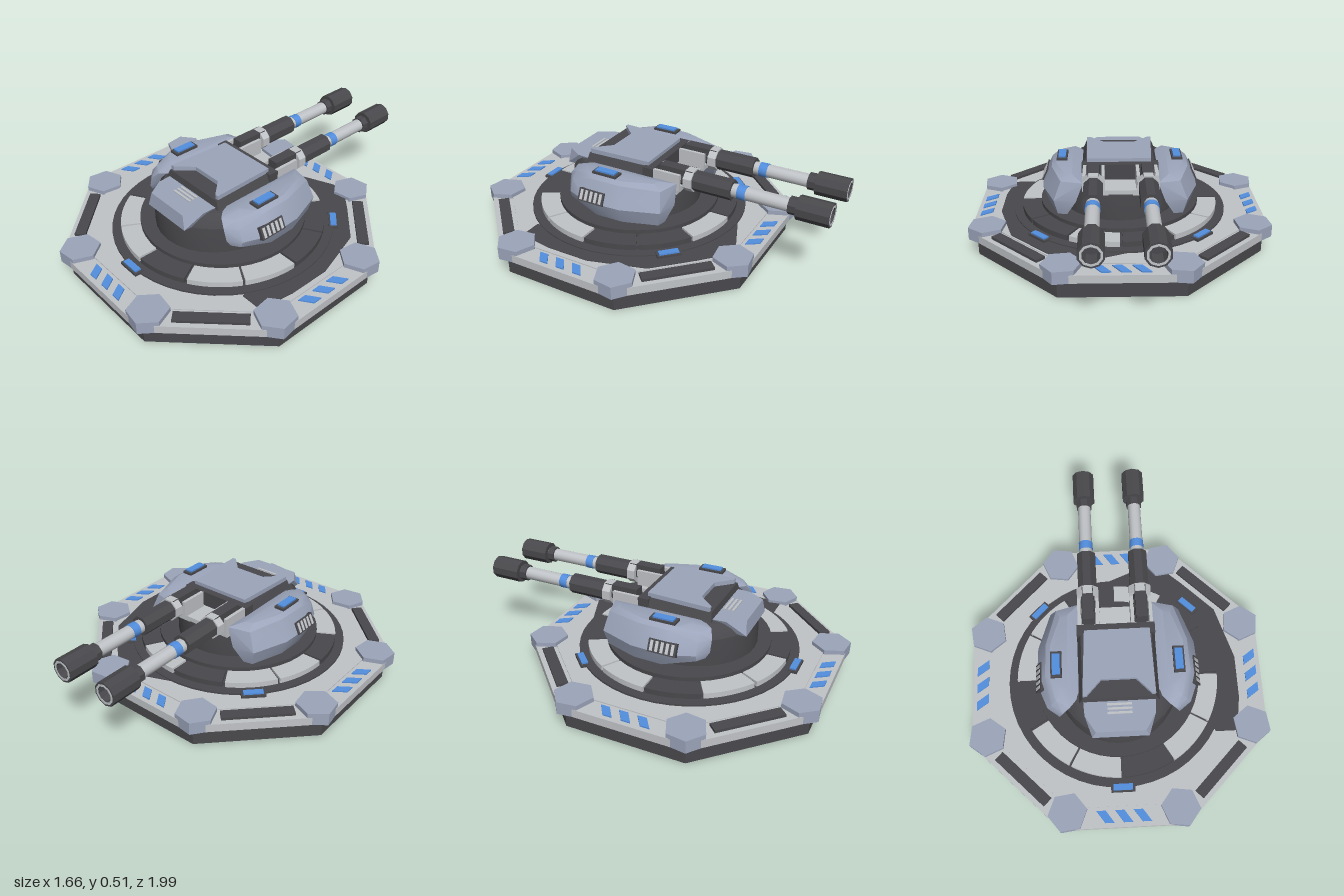
import * as THREE from 'three';
import { toCreasedNormals } from 'three/addons/utils/BufferGeometryUtils.js';
import { ConvexGeometry } from 'three/addons/geometries/ConvexGeometry.js';

const mat = (name, color) => {
  const m = new THREE.MeshStandardMaterial({ color });
  m.name = name;
  return m;
};

export function createModel() {
  const armour = mat('armour blue grey', 0x9ca5bb);
  const light = mat('light grey', 0xc1c4c8);
  const dark = mat('dark grey', 0x49494d);
  const blue = mat('signal blue', 0x538fe0);
  const CZ = 0.16; // centre of the platform along z

  const model = new THREE.Group();
  model.name = 'twinGunTurret';
  const base = new THREE.Group();
  base.name = 'platform';
  base.position.z = CZ;
  const turret = new THREE.Group();
  turret.name = 'turret';
  model.add(base, turret);

  const add = (parent, name, geo, material, x = 0, y = 0, z = 0, ry = 0) => {
    const mesh = new THREE.Mesh(toCreasedNormals(geo, 0.5), material);
    mesh.name = name;
    mesh.position.set(x, y, z);
    mesh.rotation.y = ry;
    parent.add(mesh);
    return mesh;
  };
  const box = (w, h, d) => new THREE.BoxGeometry(w, h, d);
  // Octagonal slab given by its flat-to-centre distance
  const octagon = (apothem, y0, y1) => {
    const r = apothem / Math.cos(Math.PI / 8);
    return new THREE.CylinderGeometry(r, r, y1 - y0, 8)
      .rotateY(Math.PI / 8).translate(0, (y0 + y1) / 2, 0);
  };
  const disc = (r, y0, y1) =>
    new THREE.CylinderGeometry(r, r, y1 - y0, 48).translate(0, (y0 + y1) / 2, 0);
  const lathe = (pts, n, ...range) =>
    new THREE.LatheGeometry(pts.map(p => new THREE.Vector2(...p)), n, ...range);
  // Plan outline of (x, z) points extruded between two heights
  const slab = (shape, y0, y1) =>
    new THREE.ExtrudeGeometry(shape, { depth: y1 - y0, bevelEnabled: false, curveSegments: 8 })
      .rotateX(Math.PI / 2).translate(0, y1, 0);
  const outline = pts => new THREE.Shape(pts.map(p => new THREE.Vector2(...p)));
  // Convex hull of plan outlines stacked at heights, optionally mirrored
  const hull = (levels, side = 1) => new ConvexGeometry(levels.flatMap(([y, pts]) =>
    pts.map(([x, z]) => new THREE.Vector3(side * x, y, z))));

  // Platform
  add(base, 'skirt', octagon(0.785, 0, 0.1), dark);
  add(base, 'deck', octagon(0.82, 0.1, 0.145), light);
  add(base, 'innerDeck', octagon(0.71, 0.14, 0.15), light);
  add(base, 'darkDeckPatch', slab(outline([[-0.05, -0.6], [0.2, -0.7], [0.3, -0.68], [0.41, -0.58],
    [0.59, -0.4], [0.68, -0.1], [0.68, 0.14], [0.65, 0.33], [0.53, 0.33], [0.4, 0]]), 0.146, 0.154), dark);
  for (let i = 0; i < 8; i++) {
    const a = (i + 0.5) * Math.PI / 4;
    add(base, 'cornerPad', new THREE.CylinderGeometry(0.107, 0.107, 0.07, 6),
      armour, Math.sin(a) * 0.792, 0.135, Math.cos(a) * 0.792, a);
    const s = i * Math.PI / 4;
    if (i % 2) {
      add(base, 'gripStrip', box(0.37, 0.02, 0.06), dark, Math.sin(s) * 0.763, 0.15, Math.cos(s) * 0.763, s);
    } else {
      // Slanted hazard stripes
      for (const o of [-0.1, 0, 0.1]) {
        const stripe = outline([[o - 0.05, 0.73], [o, 0.73], [o + 0.045, 0.795], [o - 0.005, 0.795]]);
        add(base, 'hazardStripe', slab(stripe, 0.144, 0.152), blue, 0, 0, 0, s);
      }
    }
  }

  // Rotating ring with twelve segments
  add(base, 'outerRing', disc(0.612, 0.14, 0.16), dark);
  add(base, 'ringCore', disc(0.55, 0.15, 0.178), dark);
  const lightSegments = [0, 1, 3, 4, 6, 7, 9];
  for (let i = 0; i < 12; i++) {
    const a = i * Math.PI / 6 + 0.012, b = (i + 1) * Math.PI / 6 - 0.012;
    const arc = new THREE.Shape();
    arc.absarc(0, 0, 0.562, a, b, false);
    arc.absarc(0, 0, 0.44, b, a, true);
    add(base, 'ringSegment', slab(arc, 0.155, 0.19), lightSegments.includes(i) ? light : dark);
  }
  add(base, 'turretDisc', disc(0.455, 0.175, 0.212), dark);
  for (const deg of [0, 135, -135]) {
    const a = deg * Math.PI / 180, x = Math.sin(a) * 0.612, z = Math.cos(a) * 0.612;
    add(base, 'ringLampFrame', box(0.13, 0.024, 0.052), dark, x, 0.152, z, a);
    add(base, 'ringLamp', box(0.105, 0.009, 0.034), blue, x, 0.168, z, a);
  }

  // Turret body: round drum, with a taller front half
  add(turret, 'drum', lathe([[0, 0.2], [0.37, 0.2], [0.37, 0.3], [0.365, 0.36], [0, 0.36]], 32)
    .scale(0.92, 1, 1), dark, 0, 0, 0.173);
  add(turret, 'frontDome', lathe([[0.365, 0.35], [0.345, 0.395], [0.315, 0.425], [0.28, 0.432], [0, 0.432]],
    20, -Math.PI / 2, Math.PI).scale(0.92, 1, 1), dark, 0, 0, 0.173);
  add(turret, 'upperBody', hull([
    [0.34, [[-0.3, 0], [0.3, 0], [0.3, 0.2], [-0.3, 0.2]]],
    [0.43, [[-0.24, 0], [0.24, 0], [0.24, 0.2], [-0.24, 0.2]]],
  ]), dark);
  add(turret, 'frontArmour', hull([
    [0.358, [[-0.155, 0.4], [0.155, 0.4], [0.15, 0.54], [-0.15, 0.54]]],
    [0.437, [[-0.19, 0.35], [0.19, 0.35], [0.185, 0.44], [-0.185, 0.44], [0.13, 0.53], [-0.13, 0.53]]],
  ]), armour);
  for (const z of [0.385, 0.408, 0.431])
    add(turret, 'frontVentBar', box(0.13, 0.008, 0.012), light, 0, 0.439, z);

  // Roof with a notched front edge
  add(turret, 'roofBase', hull([
    [0.42, [[-0.215, 0], [0.215, 0], [0.215, 0.37], [-0.215, 0.37]]],
    [0.475, [[-0.19, 0], [0.19, 0], [0.19, 0.36], [-0.19, 0.36]]],
  ]), dark);
  add(turret, 'roofPlate', slab(outline([[-0.17, -0.01], [0.18, -0.01], [0.19, 0.35], [0.17, 0.35],
    [0.09, 0.265], [-0.09, 0.265], [-0.17, 0.35], [-0.19, 0.35]]), 0.474, 0.5), armour);

  for (const s of [1, -1]) {
    // Side armour pod, lamp and vent
    add(turret, 'sideArmour', hull([
      [0.24, [[0.29, -0.17], [0.34, -0.16], [0.4, 0.02], [0.405, 0.18], [0.345, 0.26], [0.3, 0.2]]],
      [0.29, [[0.375, 0.36], [0.33, 0.39]]],
      [0.325, [[0.24, -0.2], [0.36, -0.18], [0.43, 0.02], [0.44, 0.22], [0.385, 0.36], [0.32, 0.41]]],
      [0.39, [[0.36, 0.36], [0.3, 0.41]]],
      [0.428, [[0.2, -0.19], [0.32, -0.16], [0.2, 0.32], [0.33, 0.35], [0.26, 0.39]]],
      [0.436, [[0.38, 0.04], [0.385, 0.22]]],
      [0.452, [[0.26, -0.12], [0.3, -0.11], [0.355, 0.05], [0.358, 0.24], [0.3, 0.3], [0.27, 0.29]]],
    ], s), armour);
    add(turret, 'sideLampFrame', box(0.06, 0.025, 0.145), dark, s * 0.325, 0.452, 0.16);
    add(turret, 'sideLamp', box(0.042, 0.009, 0.115), blue, s * 0.325, 0.469, 0.16);
    const vent = new THREE.Group();
    vent.name = 'sideVent';
    vent.position.set(s * 0.416, 0.35, 0.195);
    vent.rotation.z = s * 0.44;
    turret.add(vent);
    add(vent, 'ventPanel', box(0.03, 0.07, 0.155), dark);
    for (let i = 0; i < 5; i++)
      add(vent, 'ventBar', box(0.008, 0.055, 0.016), light, s * 0.014, 0, (i - 2) * 0.029);

    // Gun, running back along -z
    const gun = new THREE.Group();
    gun.name = 'gun';
    gun.position.set(s * 0.143, 0.443, 0);
    turret.add(gun);
    const tube = (name, r, z0, z1, material, n = 8) => add(gun, name,
      new THREE.CylinderGeometry(r, r, z0 - z1, n).rotateY(Math.PI / n).rotateX(Math.PI / 2),
      material, 0, 0, (z0 + z1) / 2);
    tube('breech', 0.04, -0.075, -0.26, dark);
    tube('breechCollar', 0.064, -0.225, -0.272, light);
    tube('sleeve', 0.055, -0.27, -0.485, dark);
    tube('barrel', 0.036, -0.48, -0.86, light, 14);
    tube('barrelBand', 0.039, -0.515, -0.56, blue, 14);
    tube('barrelCollar', 0.046, -0.785, -0.825, dark);
    add(gun, 'muzzle', lathe([[0, 0.83], [0.063, 0.83], [0.063, 0.998], [0.042, 0.998], [0.04, 0.92], [0, 0.92]], 10)
      .rotateX(-Math.PI / 2), dark);
    add(gun, 'muzzleRim', lathe([[0.053, 0.995], [0.053, 1], [0.042, 1], [0.042, 0.98]], 10)
      .rotateX(-Math.PI / 2), light);
    add(gun, 'breechBlock', box(0.06, 0.07, 0.19), dark, 0, 0.022, -0.17);
    for (const t of [1, -1])
      add(gun, 'cradleCheek', box(0.018, 0.09, 0.16), light, t * 0.05, -0.01, -0.125);
  }
  // Gun bay floor and cross bar
  add(turret, 'gunBayFloor', box(0.38, 0.03, 0.15), light, 0, 0.37, -0.11);
  add(turret, 'gunCrossBar', box(0.42, 0.08, 0.06), dark, 0, 0.44, -0.02);
  return model;
}
